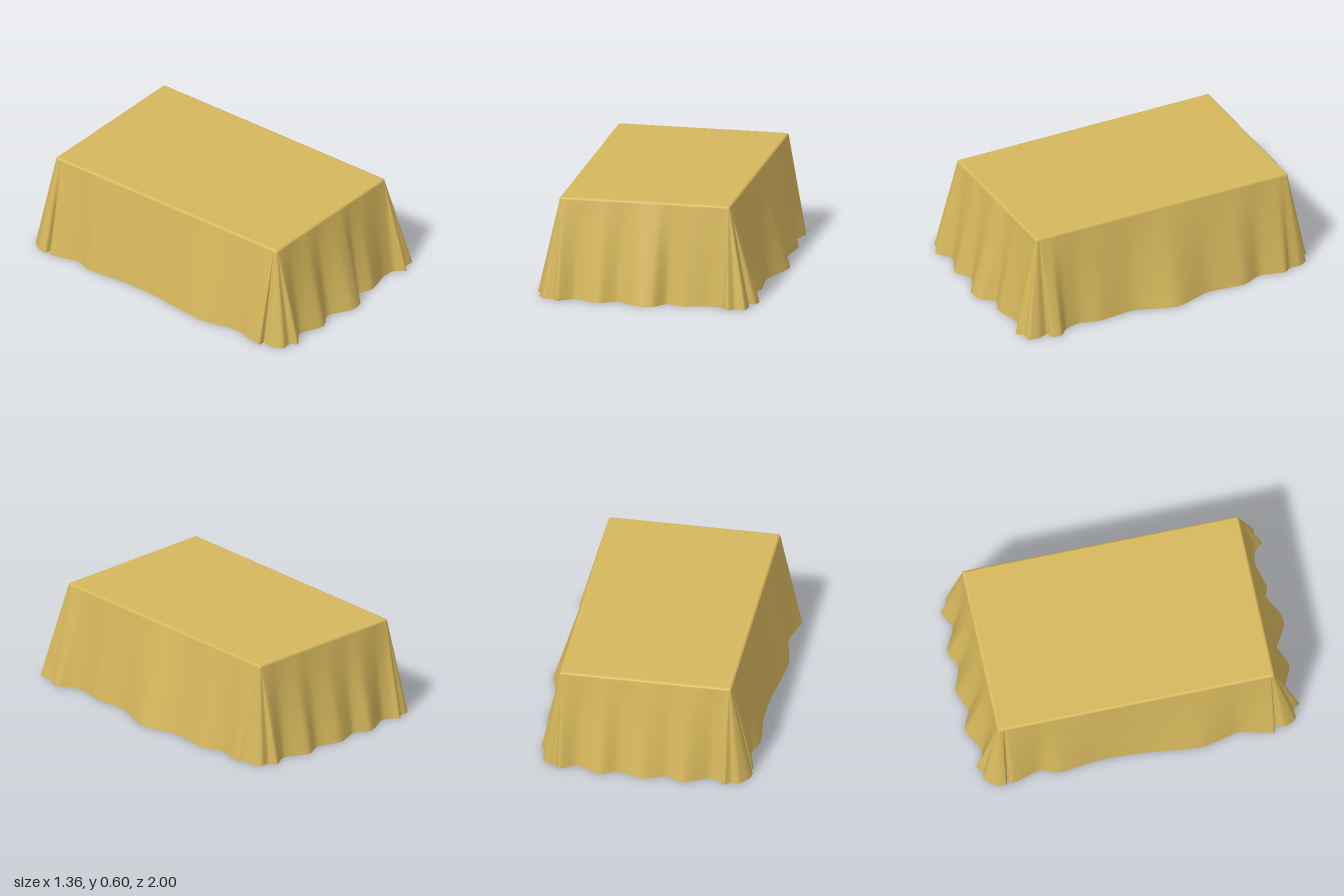
import * as THREE from 'three';

// Hem outline on the floor as x, z pairs, running back, +x side, front, -x side
const HEM = [
  -0.67, -0.83, -0.66, -0.89, -0.61, -0.95, -0.56, -0.95, -0.525, -0.98, -0.49, -0.95, -0.42, -0.93,
  -0.28, -1.0, -0.17, -0.955, -0.03, -1.0, 0.12, -0.955, 0.225, -1.0, 0.37, -0.935, 0.47, -0.985,
  0.5, -0.94, 0.555, -0.94, 0.585, -0.89, 0.585, -0.82,
  0.615, -0.77, 0.58, -0.62, 0.63, -0.49, 0.61, -0.26, 0.675, -0.02, 0.595, 0.23, 0.61, 0.45,
  0.58, 0.58, 0.6, 0.68, 0.655, 0.74, 0.645, 0.8, 0.6, 0.81, 0.62, 0.87, 0.61, 0.94,
  0.55, 0.94, 0.51, 0.975, 0.46, 0.92, 0.37, 0.91, 0.23, 0.945, 0.13, 0.91, 0.06, 0.985, -0.03, 0.995,
  -0.17, 0.92, -0.28, 0.975, -0.43, 0.915, -0.525, 0.98, -0.56, 0.94, -0.62, 0.94, -0.655, 0.87,
  -0.635, 0.81, -0.68, 0.8, -0.66, 0.71, -0.635, 0.58, -0.68, 0.35, -0.64, -0.02, -0.635, -0.26,
  -0.66, -0.5, -0.625, -0.62, -0.67, -0.79, -0.62, -0.815,
];
// Flat table top and the rounding of its rim
const X0 = -0.53, X1 = 0.48, Z0 = -0.84, Z1 = 0.815, TOP = 0.6, R = 0.015;

function drapeGeometry() {
  const knots = [];
  for (let i = 0; i < HEM.length; i += 2) knots.push(new THREE.Vector3(HEM[i], 0, HEM[i + 1]));
  const hem = new THREE.CatmullRomCurve3(knots, true, 'catmullrom', 0.35);
  const n = knots.length * 5, hang = 6, bevel = 4, rows = hang + bevel;
  const pos = [], index = [];
  for (let j = 0; j <= rows; j++) {
    for (let i = 0; i < n; i++) {
      const p = hem.getPoint(i / n);
      // nearest point of the flat top; folds fan out from its corners
      const core = new THREE.Vector3(
        THREE.MathUtils.clamp(p.x, X0, X1), TOP - R, THREE.MathUtils.clamp(p.z, Z0, Z1));
      const dir = new THREE.Vector3(p.x - core.x, 0, p.z - core.z).normalize();
      if (j <= hang) {
        p.lerp(core.addScaledVector(dir, R), j / hang);
      } else {
        const a = ((j - hang) / bevel) * Math.PI / 2;
        p.copy(core).addScaledVector(dir, R * Math.cos(a));
        p.y += R * Math.sin(a);
      }
      pos.push(p.x, p.y, p.z);
    }
  }
  for (let j = 0; j < rows; j++) {
    for (let i = 0; i < n; i++) {
      const k = (i + 1) % n;
      const a = j * n + i, b = j * n + k, c = a + n, d = b + n;
      index.push(b, a, c, b, c, d);
    }
  }
  const g = new THREE.BufferGeometry();
  g.setAttribute('position', new THREE.Float32BufferAttribute(pos, 3));
  g.setIndex(index);
  g.computeVertexNormals();
  return g;
}

export function createModel() {
  const cloth = new THREE.MeshStandardMaterial({ color: 0xd6b75c, side: THREE.DoubleSide });
  cloth.name = 'golden cloth';
  const group = new THREE.Group();
  group.name = 'tablecloth';

  // Hanging folds with the rounded rim
  const drape = new THREE.Mesh(drapeGeometry(), cloth);
  drape.name = 'hangingDrape';

  // Flat top
  const top = new THREE.Mesh(new THREE.PlaneGeometry(X1 - X0, Z1 - Z0).rotateX(-Math.PI / 2), cloth);
  top.position.set((X0 + X1) / 2, TOP, (Z0 + Z1) / 2);
  top.name = 'clothTop';

  group.add(drape, top);
  return group;
}
